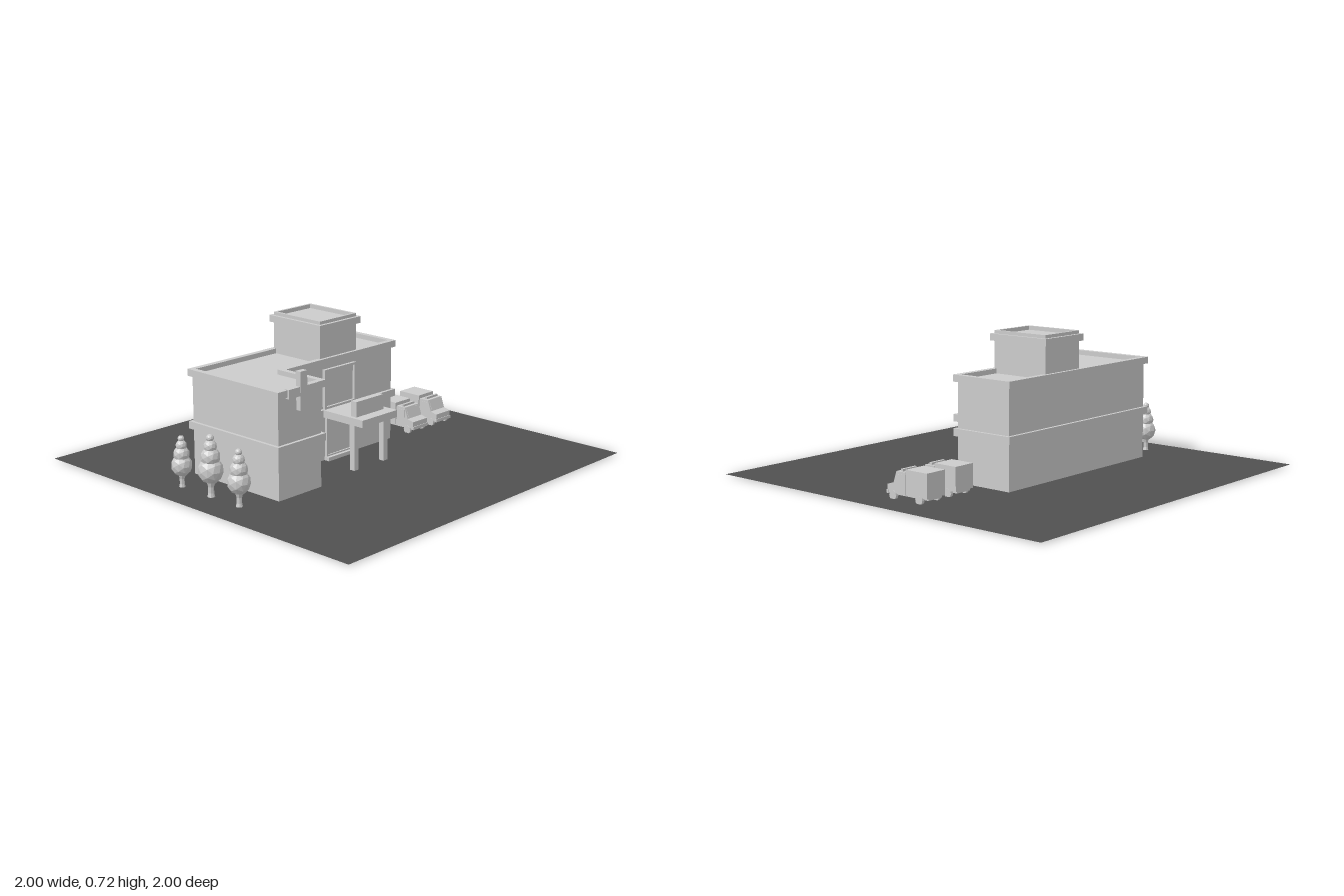
import * as THREE from 'three';

const grey = new THREE.MeshStandardMaterial({ color: 0xcccccc, flatShading: true });
const dark = new THREE.MeshStandardMaterial({ color: 0x505050, side: THREE.DoubleSide });

function add(parent, name, geometry, material = grey) {
  const mesh = new THREE.Mesh(geometry, material);
  mesh.name = name;
  parent.add(mesh);
  return mesh;
}

// Box given by its limits on each axis
function block(parent, name, [x0, x1], [y0, y1], [z0, z1]) {
  const mesh = add(parent, name, new THREE.BoxGeometry(x1 - x0, y1 - y0, z1 - z0));
  mesh.position.set((x0 + x1) / 2, (y0 + y1) / 2, (z0 + z1) / 2);
  return mesh;
}

// L-shaped plan of the main building, grown outwards by o
const lPlan = (o) => [
  [-0.318 - o, 0.67 + o], [0.26 + o, 0.67 + o], [0.26 + o, 0.39 - o],
  [o, 0.39 - o], [o, -0.4 - o], [-0.318 - o, -0.4 - o],
];
// Square plan of the roof tower
const towerPlan = (o) => [
  [-0.318 - o, 0.125 + o], [o, 0.125 + o], [o, -0.134 - o], [-0.318 - o, -0.134 - o],
];
const toPoints = (plan) => plan.map(([x, z]) => new THREE.Vector2(x, -z));

// Raise a plan from y0 to y1, with an optional opening
function raise(parent, name, plan, y0, y1, hole) {
  const shape = new THREE.Shape(toPoints(plan));
  if (hole) shape.holes.push(new THREE.Path(toPoints(hole)));
  const geometry = new THREE.ExtrudeGeometry(shape, { depth: y1 - y0, bevelEnabled: false });
  geometry.rotateX(-Math.PI / 2).translate(0, y0, 0);
  return add(parent, name, geometry);
}

// Rectangular frame with a pane, standing on the x = 0 wall
function wallFrame(parent, name, [y0, y1], [z0, z1], depth) {
  const g = new THREE.Group();
  g.name = name;
  const t = 0.012;
  for (const z of [z0, z1 - t]) block(g, 'frameSide', [-0.005, depth], [y0, y1], [z, z + t]);
  for (const y of [y0, y1 - t]) block(g, 'frameRail', [-0.005, depth], [y, y + t], [z0 + t, z1 - t]);
  block(g, 'pane', [-0.005, 0.004], [y0 + t, y1 - t], [z0 + t, z1 - t]);
  parent.add(g);
}

function makeBuilding() {
  const g = new THREE.Group();
  g.name = 'building';
  raise(g, 'walls', lPlan(0), 0, 0.507);
  raise(g, 'floorBand', lPlan(0.016), 0.235, 0.272, lPlan(-0.005));
  raise(g, 'roofCornice', lPlan(0.016), 0.497, 0.531, lPlan(-0.013));

  // Roof tower
  raise(g, 'towerWalls', towerPlan(0), 0.5, 0.698);
  raise(g, 'towerCornice', towerPlan(0.016), 0.668, 0.702, towerPlan(-0.005));
  raise(g, 'towerParapet', towerPlan(0), 0.69, 0.718, towerPlan(-0.013));

  // Entrance: door, window, canopy on posts and sign board
  wallFrame(g, 'door', [0.02, 0.222], [-0.096, 0.091], 0.012);
  block(g, 'doorstep', [0, 0.03], [0, 0.025], [-0.1, 0.095]);
  wallFrame(g, 'upperWindow', [0.272, 0.474], [-0.118, 0.107], 0.016);
  block(g, 'canopy', [0, 0.275], [0.236, 0.273], [-0.133, 0.118]);
  for (const z of [-0.112, 0.101]) block(g, 'canopyPost', [0.19, 0.22], [0, 0.24], [z - 0.015, z + 0.015]);
  block(g, 'signBoard', [0.18, 0.216], [0.27, 0.35], [-0.098, 0.098]);

  // Wall cross on the wing
  block(g, 'crossUpright', [0.258, 0.287], [0.42, 0.605], [0.508, 0.553]);
  block(g, 'crossBar', [0.258, 0.286], [0.49, 0.534], [0.436, 0.626]);
  return g;
}

// Tree: flared trunk and four stacked balls of foliage
function makeTree(x, height) {
  const g = new THREE.Group();
  g.name = 'tree';
  const profile = [[0, 0], [0.02, 0], [0.014, 0.025], [0.014, 0.055], [0.024, 0.09], [0, 0.09]];
  add(g, 'trunk', new THREE.LatheGeometry(profile.map(([r, y]) => new THREE.Vector2(r, y)), 8));
  const balls = [[0.135, 0.061, 0.066], [0.2, 0.047, 0.05], [0.251, 0.032, 0.034], [0.291, 0.019, 0.019]];
  for (const [y, r, h] of balls) {
    const ball = add(g, 'foliage', new THREE.IcosahedronGeometry(1, 1));
    ball.position.y = y;
    ball.scale.set(r, h, r);
  }
  g.position.set(x, 0, 0.837);
  g.scale.setScalar(height / 0.31);
  return g;
}

// Box-bodied van facing +x
function makeVan(z) {
  const g = new THREE.Group();
  g.name = 'van';
  const w = 0.059;
  block(g, 'cargoBox', [-0.21, -0.078], [0.035, 0.153], [-w, w]);
  block(g, 'chassis', [-0.205, 0.04], [0.025, 0.045], [-0.045, 0.045]);

  // Cab and bonnet
  const side = [[-0.072, 0.032], [0.043, 0.032], [0.043, 0.07], [0.004, 0.08], [-0.016, 0.138], [-0.072, 0.138]];
  const cab = new THREE.ExtrudeGeometry(
    new THREE.Shape(side.map(([x, y]) => new THREE.Vector2(x, y))), { depth: 2 * w - 0.006, bevelEnabled: false });
  add(g, 'cab', cab.translate(0, 0, 0.003 - w));
  block(g, 'cabJoint', [-0.08, -0.07], [0.035, 0.13], [-0.052, 0.052]);
  block(g, 'lightBar', [-0.048, -0.034], [0.135, 0.149], [-0.045, 0.045]);
  block(g, 'bumper', [0.035, 0.047], [0.028, 0.044], [-w, w]);
  const windscreen = block(g, 'windscreen', [-0.002, 0.002], [-0.024, 0.024], [-0.047, 0.047]);
  windscreen.position.set(-0.006, 0.109, 0);
  windscreen.rotation.z = Math.atan2(0.02, 0.058);

  // Side windows and wheels
  for (const s of [-1, 1]) {
    const pane = block(g, 'sideWindow', [-0.058, -0.018], [0.085, 0.125], [-0.002, 0.002]);
    pane.position.z = s * (w - 0.003);
    for (const x of [-0.16, 0.005]) {
      const wheel = add(g, 'wheel', new THREE.CylinderGeometry(0.022, 0.022, 0.015, 12));
      wheel.rotation.x = Math.PI / 2;
      wheel.position.set(x, 0.023, s * 0.054);
    }
  }
  g.position.z = z;
  return g;
}

export function createModel() {
  const model = new THREE.Group();
  model.name = 'buildingSite';
  const ground = add(model, 'ground', new THREE.PlaneGeometry(2, 2), dark);
  ground.rotation.x = -Math.PI / 2;
  ground.position.y = 0.006;
  model.add(makeBuilding());
  for (const [x, h] of [[-0.22, 0.26], [-0.017, 0.31], [0.173, 0.283]]) model.add(makeTree(x, h));
  for (const z of [-0.779, -0.589]) model.add(makeVan(z));
  return model;
}
